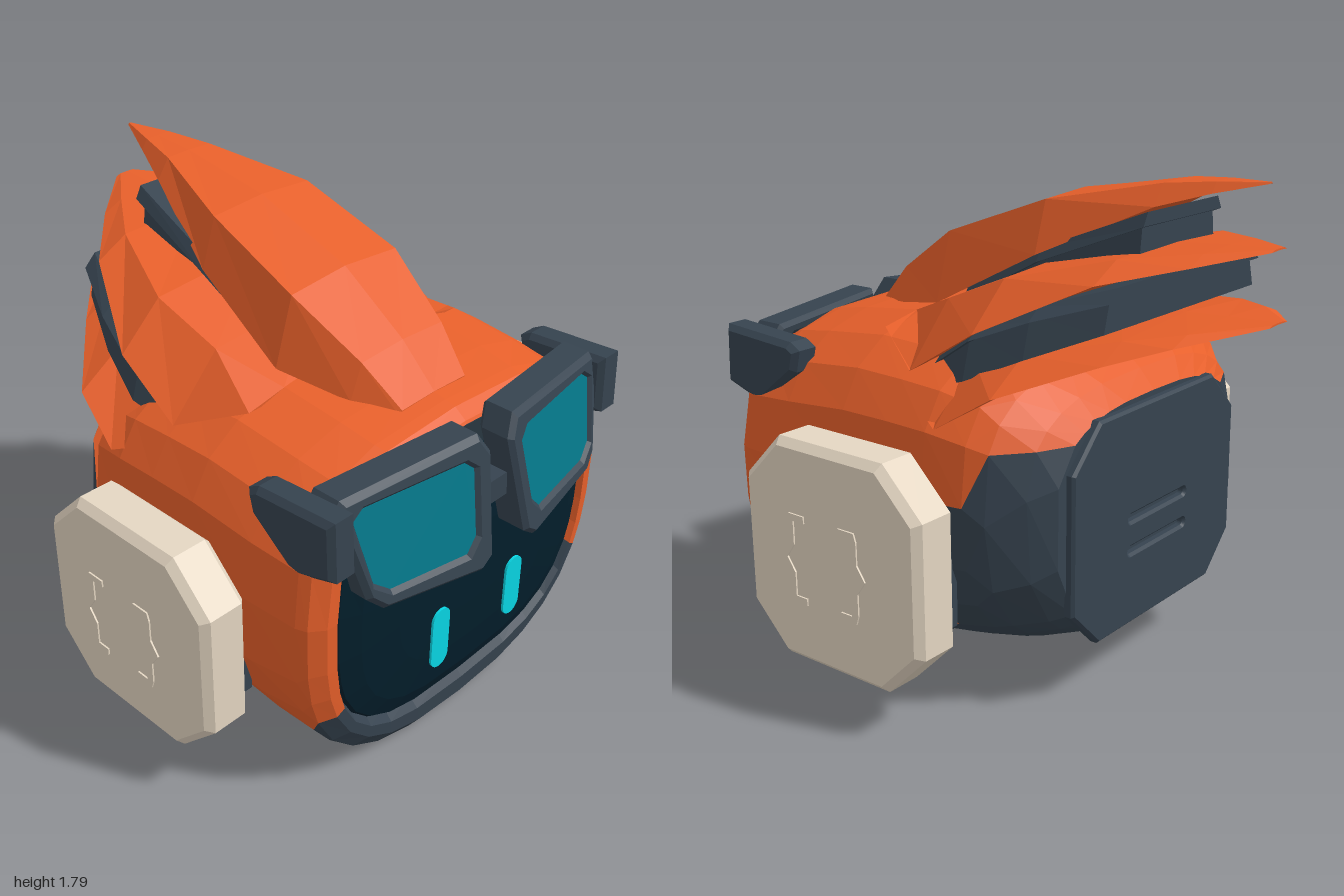
import * as THREE from 'three';

const mat = (name, color) => Object.assign(new THREE.MeshStandardMaterial({ color }), { name });

// Loft closed loops (counter-clockwise seen from +z, listed front to back) into a faceted surface
function loft(loops, keep = () => true, capFront = true, capBack = true) {
  const n = loops[0].length, pos = [], idx = [];
  loops.forEach(l => l.forEach(p => pos.push(...p)));
  for (let r = 0; r < loops.length - 1; r++) {
    for (let j = 0; j < n; j++) {
      if (!keep(j, r)) continue;
      const a = r * n + j, a2 = r * n + (j + 1) % n, b = a + n, b2 = a2 + n;
      idx.push(a, b, a2, a2, b, b2);
    }
  }
  const last = (loops.length - 1) * n;
  for (let j = 1; j < n - 1; j++) {
    if (capFront) idx.push(0, j, j + 1);
    if (capBack) idx.push(last, last + j + 1, last + j);
  }
  const g = new THREE.BufferGeometry();
  g.setAttribute('position', new THREE.Float32BufferAttribute(pos, 3));
  g.setIndex(idx);
  return facet(g);
}

function facet(g) {
  const out = g.index ? g.toNonIndexed() : g;
  out.computeVertexNormals();
  return out;
}

// Mirror a geometry across x = 0, keeping faces outward
function mirrorX(g) {
  const m = g.clone(), p = m.attributes.position;
  for (let i = 0; i < p.count; i += 3) {
    const v = [0, 2, 1].map(k => [-p.getX(i + k), p.getY(i + k), p.getZ(i + k)]);
    v.forEach((q, k) => p.setXYZ(i + k, ...q));
  }
  return facet(m);
}

const shapeOf = pts => new THREE.Shape(pts.map(p => new THREE.Vector2(...p)));

// Extrusion whose bevel stays inside the outline; spans z from 0 to depth
function slab(shape, depth, bevel = 0) {
  const g = new THREE.ExtrudeGeometry(shape, {
    depth: depth - 2 * bevel, bevelEnabled: bevel > 0, bevelSize: bevel,
    bevelThickness: bevel, bevelOffset: -bevel, bevelSegments: 1, curveSegments: 8,
  });
  return facet(g.translate(0, 0, bevel));
}

const octagon = (w, h, c) => shapeOf([
  [w, -h + c], [w, h - c], [w - c, h], [-w + c, h], [-w, h - c], [-w, -h + c], [-w + c, -h], [w - c, -h]]);

function capsule(w, h, horizontal = false, cx = 0, cy = 0, Type = THREE.Path) {
  const p = new Type(), r = w / 2, s = h / 2 - r;
  if (horizontal) {
    p.absarc(cx + s, cy, r, -Math.PI / 2, Math.PI / 2);
    p.absarc(cx - s, cy, r, Math.PI / 2, Math.PI * 1.5);
  } else {
    p.absarc(cx, cy + s, r, 0, Math.PI);
    p.absarc(cx, cy - s, r, Math.PI, Math.PI * 2);
  }
  return p;
}

// The brow of the face leans back
const browZ = (y, z) => z - (z > 0.7 ? 0.22 * Math.max(0, y - 0.92) : 0);

// Head cross-section; points K1 and K2 of each side sit on the heights b1 and b2
const N = 13, K1 = 5, K2 = 8;
function headRing([z, w, y0, y1, b1, b2 = 0.78, lo = 2.6]) {
  const yc = y0 + 0.58 * (y1 - y0), hi = 3, q = Math.PI / 2;
  const angle = y => (y < yc
    ? -Math.asin(((yc - y) / (yc - y0)) ** (lo / 2)) : Math.asin(((y - yc) / (y1 - yc)) ** (hi / 2)));
  const stops = [[0, -q], [K1, angle(b1)], [K2, angle(b2)], [N, q]];
  const loop = [];
  for (let j = 0; j < 2 * N; j++) {
    const k = j <= N ? j : 2 * N - j, i = k < K1 ? 0 : k < K2 ? 1 : 2;
    const [k0, a0] = stops[i], [k1, a1] = stops[i + 1];
    const a = a0 + (a1 - a0) * (k - k0) / (k1 - k0);
    const n = a < 0 ? lo : hi, s = Math.abs(Math.sin(a)) ** (2 / n);
    const x = k === 0 || k === N ? 0 : w * Math.cos(a) ** (2 / n);
    const y = a < 0 ? yc - s * (yc - y0) : yc + s * (y1 - yc);
    loop.push([j <= N ? x : -x, y, browZ(y, z)]);
  }
  return loop;
}

// Hair layer section: centre height, shoulder and edge, hollowed underneath
const hairRing = ([z, yt, a, ya, b, yb]) => [
  [0, yt, z], [-a, ya, z], [-b, yb, z], [0, yb + 0.3 * (yt - yb), z], [b, yb, z], [a, ya, z]];
const boxRing = ([z, w, y0, y1, top]) => [[-w, y0, z], [w, y0, z], [w * top, y1, z], [-w * top, y1, z]];

export function createModel() {
  const root = new THREE.Group();
  root.name = 'robotHead';
  const orange = mat('orange', 0xe65f2a), dark = mat('slate', 0x36434f), cream = mat('cream', 0xe4d6c2);
  const navy = mat('screenNavy', 0x031e2b), teal = mat('lensTeal', 0x047789), cyan = mat('eyeCyan', 0x08d6e4);
  const add = (name, g, m) => {
    const mesh = new THREE.Mesh(g, m);
    mesh.name = name;
    root.add(mesh);
  };
  const addPair = (name, g, m) => {
    add(name + 'Left', g, m);
    add(name + 'Right', mirrorX(g), m);
  };

  // Head shell: z, half width, bottom, top, lower colour border, upper colour border
  const rows = [
    [0.77, 0.655, 0.175, 1.18, 0.42, 0.78, 3.1], [0.812, 0.668, 0.13, 1.19, 0.40, 0.78, 3],
    [0.808, 0.71, 0.06, 1.20, 0.38], [0.77, 0.76, 0.008, 1.235, 0.36], [0.73, 0.775, 0.003, 1.245, 0.29],
    [0.52, 0.785, 0.008, 1.27, 0.225], [0.25, 0.785, 0.03, 1.30, 0.21], [0.05, 0.785, 0.07, 1.29, 0.24],
    [-0.12, 0.785, 0.105, 1.275, 0.27], [-0.27, 0.76, 0.14, 1.23, 0.3], [-0.34, 0.73, 0.16, 1.19, 0.32, 0.96],
    [-0.44, 0.64, 0.19, 1.11, 0.34, 0.96], [-0.5, 0.56, 0.22, 1.04, 0.36, 0.96]];
  const rings = rows.map(headRing);
  const lower = (j, r) => Math.min(j, 2 * N - 1 - j) < (rows[r][0] < -0.1 ? K2 : K1);
  add('upperShell', loft(rings, (j, r) => !lower(j, r), false, false), orange);
  add('lowerShell', loft(rings, lower, false, true), dark);

  // Slightly domed face screen
  const rim = headRing([0, 0.665, 0.15, 1.19, 0.41, 0.78, 3.1]);
  const dome = [[0.3, 0.843], [0.6, 0.838], [0.85, 0.822], [0.97, 0.797], [1, 0.77]];
  add('faceScreen', loft(dome.map(([s, z]) => rim.map(([x, y]) => {
    const sy = 0.68 + (y - 0.68) * s;
    return [x * s, sy, browZ(sy, z)];
  }))), navy);
  addPair('eye', slab(capsule(0.088, 0.25, false, 0.2, 0.465, THREE.Shape), 0.009).translate(0, 0, 0.849), cyan);

  // Back panel with two vent slots
  const panel = octagon(0.505, 0.4, 0.15);
  for (const y of [0, -0.12]) panel.holes.push(capsule(0.026, 0.36, true, 0, y));
  add('backPanel', slab(panel, 0.045, 0.01).translate(0, 0.62, -0.53), dark);

  // Ear pads, hubs and trim
  const side = (g, x, y, z) => g.rotateY(Math.PI / 2).translate(x, y, z);
  addPair('earHub', side(slab(octagon(0.35, 0.35, 0.145), 0.08), 0.73, 0.55, 0.13), dark);
  addPair('earPad', side(slab(octagon(0.4, 0.4, 0.165), 0.185, 0.027), 0.785, 0.55, 0.13), cream);
  const trim = [[0.08, 0.16], [0.15, 0.16], [0.16, 0.13], [0.16, 0.05], [0.195, 0], [0.16, -0.05],
    [0.16, -0.13], [0.15, -0.16], [0.08, -0.16], [0.08, -0.135], [0.13, -0.135], [0.13, -0.05],
    [0.165, 0], [0.13, 0.05], [0.13, 0.135], [0.08, 0.135]];
  for (const [name, s] of [['earTrimFront', -1], ['earTrimBack', 1]]) {
    addPair(name, side(slab(shapeOf(trim.map(([u, v]) => [s * u, v])), 0.006), 0.994, 0.55, 0.13), cream);
  }

  // Glasses: flat outlines sheared to lean and wrap
  const lean = g => {
    const p = g.attributes.position;
    for (let i = 0; i < p.count; i++) {
      p.setZ(i, p.getZ(i) + 0.932 - 0.22 * (p.getY(i) - 1) - 0.155 * (p.getX(i) - 0.1));
    }
    return facet(g);
  };
  const outer = [[0.64, 1.22], [0.09, 1.245], [0.045, 1.17], [0.085, 0.82], [0.14, 0.78], [0.54, 0.815],
    [0.6, 0.87], [0.67, 1.18]];
  const inner = [[0.61, 1.14], [0.57, 1.17], [0.155, 1.17], [0.12, 1.14], [0.145, 0.91], [0.19, 0.86],
    [0.51, 0.87], [0.57, 0.915]];
  const scaled = s => shapeOf(inner.map(([x, y]) => [0.365 + (x - 0.365) * s, 1.015 + (y - 1.015) * s]));
  const frame = shapeOf(outer);
  frame.holes.push(scaled(0.97));
  addPair('glassesFrame', lean(slab(frame, 0.14, 0.018).translate(0, 0, -0.14)), dark);
  addPair('lens', lean(slab(scaled(0.99), 0.009).translate(0, 0, -0.022)), teal);
  add('glassesBridge', facet(new THREE.BoxGeometry(0.18, 0.09, 0.07).translate(0, 0.99, 0.85)), dark);
  const arm = [[0.85, 1.215], [0.53, 1.195], [0.485, 1.17], [0.505, 1.09], [0.67, 0.96], [0.72, 0.955], [0.86, 1.0]];
  addPair('glassesArm', side(slab(shapeOf(arm.map(([z, y]) => [-z, y])), 0.115, 0.02), 0.63, 0, 0), dark);

  // Swept hair layers: z, centre height, shoulder x, shoulder y, edge x, edge y
  const layers = {
    hairCrest: [[0.61, 1.255, 0.16, 1.25, 0.17, 1.23], [0.465, 1.395, 0.2, 1.385, 0.25, 1.26],
      [0.2, 1.575, 0.255, 1.555, 0.33, 1.31], [-0.2, 1.715, 0.225, 1.70, 0.285, 1.52],
      [-0.58, 1.775, 0.1, 1.772, 0.15, 1.70], [-0.75, 1.787, 0.055, 1.786, 0.08, 1.75],
      [-0.915, 1.793, 0.004, 1.792, 0.008, 1.787]],
    hairMiddle: [[0.27, 1.285, 0.36, 1.28, 0.52, 1.25], [0.04, 1.40, 0.45, 1.37, 0.65, 1.16],
      [-0.22, 1.51, 0.47, 1.475, 0.64, 1.32], [-0.56, 1.565, 0.33, 1.555, 0.455, 1.49],
      [-0.78, 1.58, 0.17, 1.575, 0.25, 1.54], [-0.956, 1.588, 0.03, 1.587, 0.05, 1.58]],
    hairLower: [[0, 1.2, 0.5, 1.15, 0.68, 1.08], [-0.16, 1.27, 0.56, 1.22, 0.762, 1.025],
      [-0.36, 1.31, 0.55, 1.26, 0.72, 1.15], [-0.62, 1.335, 0.38, 1.31, 0.49, 1.25],
      [-0.78, 1.342, 0.25, 1.33, 0.335, 1.30], [-0.965, 1.348, 0.04, 1.346, 0.06, 1.34]],
  };
  for (const [name, sections] of Object.entries(layers)) add(name, loft(sections.map(hairRing)), orange);

  // Dark cores filling the gaps between the hair layers, each topped by a slightly wider slat
  const cores = {
    Upper: [[0.12, 0.29, 1.22, 1.37], [-0.2, 0.29, 1.38, 1.54], [-0.6, 0.25, 1.54, 1.695]],
    Lower: [[0.04, 0.61, 1.08, 1.19], [-0.2, 0.66, 1.16, 1.34], [-0.4, 0.6, 1.25, 1.42], [-0.63, 0.485, 1.345, 1.49]],
  };
  for (const [name, sections] of Object.entries(cores)) {
    add('hairCore' + name, loft(sections.map(([z, w, y0, y1]) => boxRing([z + 0.02, w - 0.02, y0, y1 - 0.03, 0.93]))), dark);
    add('hairSlat' + name, loft(sections.map(([z, w, , y1]) => boxRing([z, w * 0.96, y1 - 0.045, y1, 0.9]))), dark);
  }
  return root;
}
